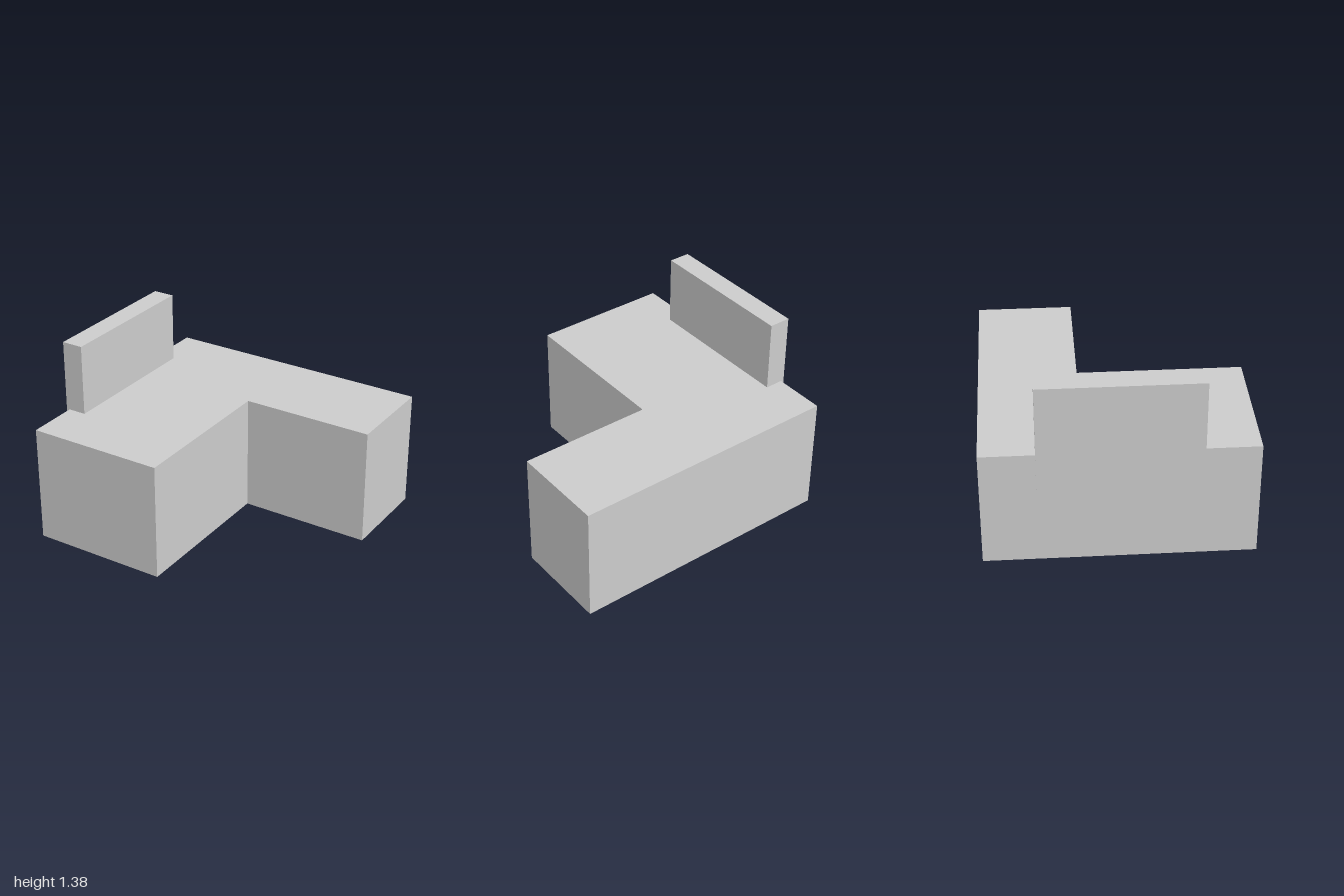
import * as THREE from 'three';

export function createModel() {
  const model = new THREE.Group();
  const material = new THREE.MeshStandardMaterial({ color: 0xcccccc, flatShading: true });
  const add = (name, geometry) => {
    const mesh = new THREE.Mesh(geometry, material);
    mesh.name = name;
    model.add(mesh);
    return mesh;
  };

  // L-shaped block: plan outline as (x, -z), extruded upward
  const outline = [
    [-0.975, -0.94], [0.03, -0.94], [0.03, 0.24],
    [1, 0.24], [1, 0.94], [-0.975, 0.94],
  ].map(([x, y]) => new THREE.Vector2(x, y));
  const base = new THREE.ExtrudeGeometry(new THREE.Shape(outline), { depth: 0.86, bevelEnabled: false });
  base.rotateX(-Math.PI / 2);
  add('base', base);

  // Upright panel set into the side edge, standing slightly proud of it
  add('backPanel', new THREE.BoxGeometry(0.157, 0.86, 1.12)).position.set(-0.9215, 0.95, 0);

  return model;
}
